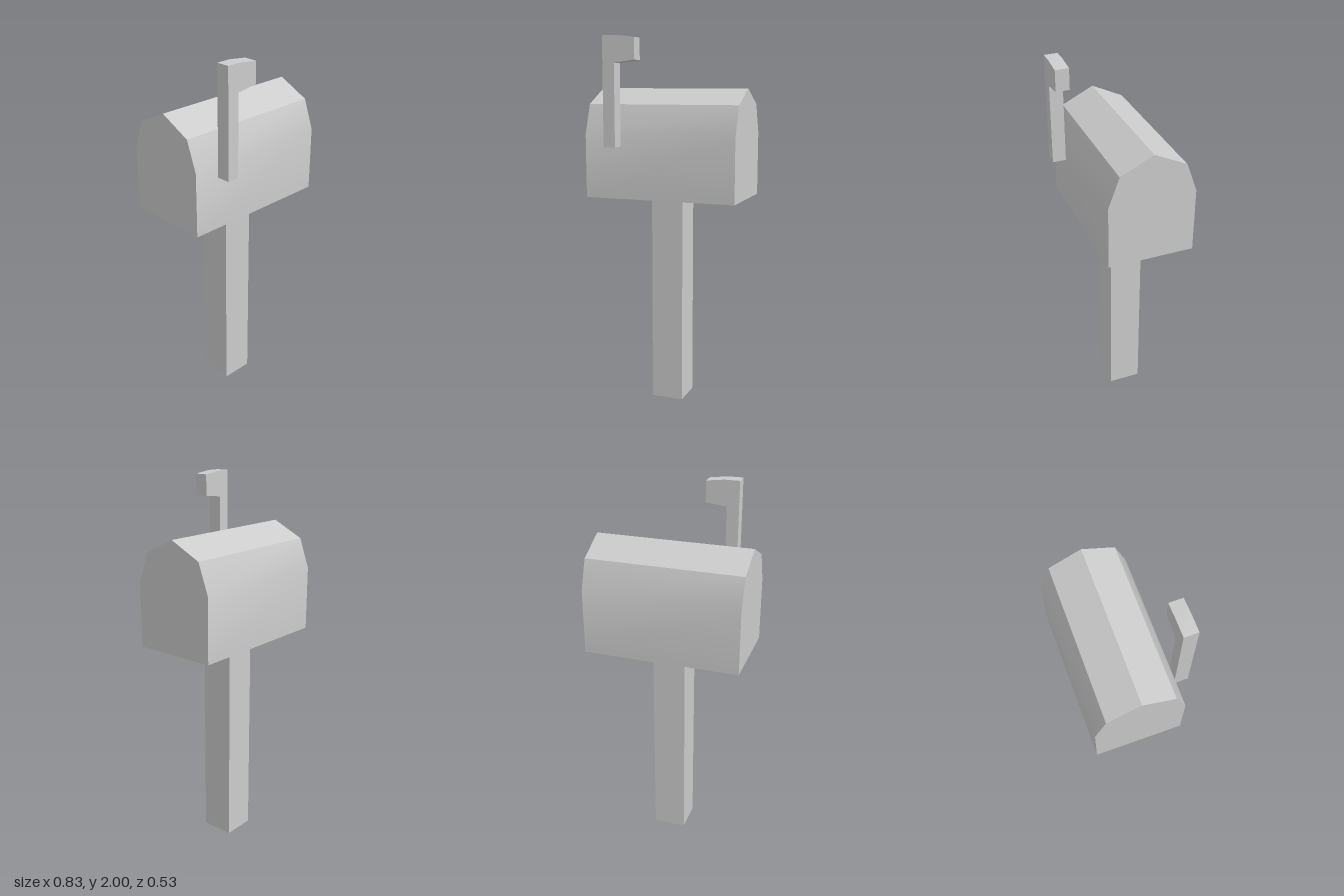
import * as THREE from 'three';
import { toCreasedNormals } from 'three/addons/utils/BufferGeometryUtils.js';

const material = new THREE.MeshStandardMaterial({ color: 0xcccccc });

// Extrudes an outline, centred on its depth, with only the gentle bends smoothed.
function prism(points, depth) {
  const shape = new THREE.Shape(points.map(([x, y]) => new THREE.Vector2(x, y)));
  const geometry = new THREE.ExtrudeGeometry(shape, { depth, bevelEnabled: false });
  return toCreasedNormals(geometry.translate(0, 0, -depth / 2), 0.5);
}

function addPart(group, name, geometry, x, y, z, mat = material) {
  const mesh = new THREE.Mesh(geometry, mat);
  mesh.name = name;
  mesh.position.set(x, y, z);
  group.add(mesh);
  return mesh;
}

export function createModel() {
  const group = new THREE.Group();
  group.name = 'mailbox';
  const centreZ = -0.037;

  // Square post: four hollow walls with open ends
  const side = 0.177;
  const postHeight = 1.15;
  const postMaterial = new THREE.MeshStandardMaterial({
    color: 0xcccccc, flatShading: true, side: THREE.DoubleSide,
  });
  const radius = side / Math.SQRT2;
  const postGeometry = new THREE.CylinderGeometry(radius, radius, postHeight, 4, 1, true, Math.PI / 4);
  addPart(group, 'post', postGeometry, -0.002, postHeight / 2, centreZ, postMaterial);

  // Box with a faceted roof: mirrored half profile, extruded along x
  const half = [[0.228, 0], [0.228, 0.343], [0.171, 0.5]];
  const mirrored = half.map(([x, y]) => [-x, y]).reverse();
  const boxGeometry = prism([...half, [0, 0.583], ...mirrored], 0.834).rotateY(Math.PI / 2);
  addPart(group, 'box', boxGeometry, 0, 1.15, centreZ);

  // Signal flag: pole and tapering arm in one outline, just clear of the front wall
  const flagOutline = [
    [-0.275, 1.43], [-0.21, 1.43], [-0.21, 1.862], [-0.097, 1.876],
    [-0.097, 1.988], [-0.195, 2], [-0.275, 2],
  ];
  addPart(group, 'flag', prism(flagOutline, 0.072), 0, 0, 0.229);

  return group;
}
